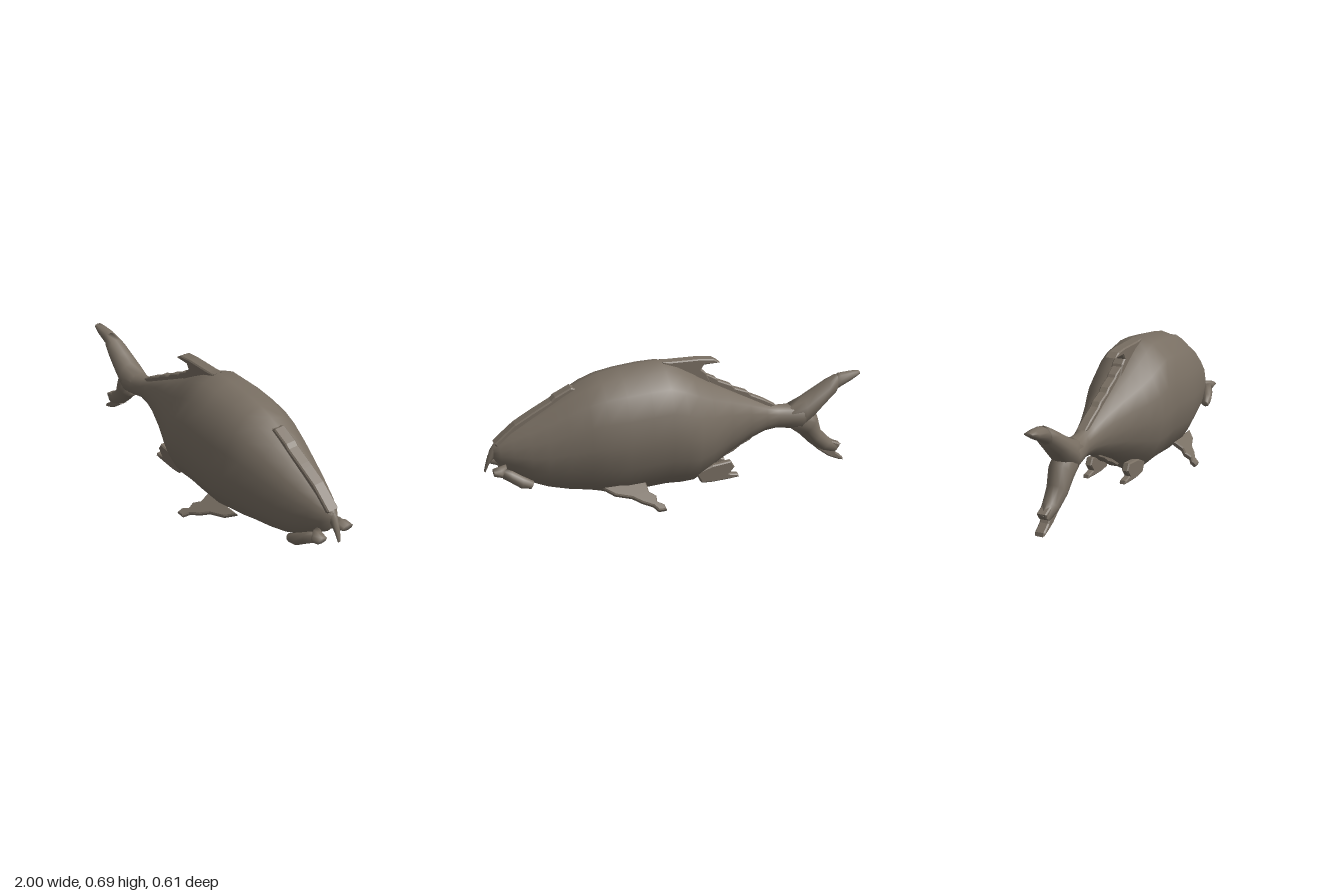
import * as THREE from 'three';

const skin = new THREE.MeshStandardMaterial({ color: 0x786e62 });
skin.name = 'fish skin';

// Elliptical loft. Each section: [topX, topY, bottomX, bottomY, halfWidth, centreZ]
function loft(sections, sides = 16) {
  const pos = [], index = [];
  for (const [tx, ty, bx, by, w, z = 0] of sections) {
    for (let j = 0; j < sides; j++) {
      const a = (j / sides) * Math.PI * 2, c = Math.cos(a) / 2;
      pos.push((tx + bx) / 2 + c * (tx - bx), (ty + by) / 2 + c * (ty - by), z + w * Math.sin(a));
    }
  }
  const last = (sections.length - 1) * sides;
  for (let i = 0; i < sections.length - 1; i++) {
    for (let j = 0; j < sides; j++) {
      const k = (j + 1) % sides, p = i * sides, q = p + sides;
      index.push(p + j, p + k, q + j, p + k, q + k, q + j);
    }
  }
  // end caps as fans
  for (let j = 1; j < sides - 1; j++) {
    index.push(0, j + 1, j, last, last + j, last + j + 1);
  }
  const g = new THREE.BufferGeometry();
  g.setAttribute('position', new THREE.Float32BufferAttribute(pos, 3));
  g.setIndex(index);
  g.computeVertexNormals();
  return g;
}

// Flat fin from an outline, centred on z = 0, with bevelled rims
function plate(points, thickness, bevel = 0.006) {
  const shape = new THREE.Shape(points.map(([x, y]) => new THREE.Vector2(x, y)));
  const depth = thickness - 2 * bevel;
  const g = new THREE.ExtrudeGeometry(shape, {
    depth, bevelEnabled: true, bevelThickness: bevel, bevelSize: bevel,
    bevelOffset: -bevel, bevelSegments: 1,
  });
  return g.translate(0, 0, -depth / 2);
}

export function createModel() {
  const fish = new THREE.Group();
  fish.name = 'fish';

  function add(name, geometry) {
    const mesh = new THREE.Mesh(geometry, skin);
    mesh.name = name;
    fish.add(mesh);
    return mesh;
  }
  function addPair(name, geometry) {
    add(name + 'Left', geometry);
    add(name + 'Right', geometry).scale.z = -1;
  }

  // body: x, top, bottom, half width
  const body = [
    [-0.7, 0.37, 0.25, 0.062], [-0.66, 0.372, 0.225, 0.075], [-0.6, 0.362, 0.232, 0.062],
    [-0.53, 0.367, 0.243, 0.05], [-0.46, 0.393, 0.237, 0.062], [-0.36, 0.447, 0.2, 0.09],
    [-0.24, 0.51, 0.143, 0.135], [-0.13, 0.57, 0.075, 0.183], [-0.05, 0.62, 0.03, 0.214],
    [0.02, 0.66, 0.028, 0.229], [0.1, 0.69, 0.034, 0.236], [0.2, 0.688, 0.03, 0.24],
    [0.32, 0.677, 0.022, 0.235], [0.42, 0.66, 0.04, 0.222], [0.5, 0.632, 0.06, 0.205],
    [0.6, 0.58, 0.078, 0.178], [0.7, 0.52, 0.105, 0.147], [0.78, 0.474, 0.14, 0.118],
    [0.86, 0.425, 0.198, 0.083], [0.92, 0.383, 0.238, 0.05], [0.95, 0.355, 0.285, 0.025],
  ];
  add('body', loft(body.map(([x, t, b, w]) => [x, t, x, b, w])));

  // hooked snout, bending down to a narrow tip
  add('snout', loft([
    [0.86, 0.425, 0.87, 0.32, 0.03], [0.93, 0.382, 0.91, 0.3, 0.028],
    [0.965, 0.335, 0.945, 0.29, 0.021], [0.985, 0.28, 0.97, 0.265, 0.015],
    [1, 0.225, 0.992, 0.22, 0.008],
  ], 10));

  // forked tail, each lobe running from tip to root
  add('tailUpperLobe', loft([
    [-0.87, 0.498, -0.855, 0.39, 0.043], [-0.82, 0.475, -0.79, 0.335, 0.058],
    [-0.74, 0.43, -0.74, 0.285, 0.066], [-0.68, 0.395, -0.68, 0.235, 0.073],
    [-0.6, 0.362, -0.6, 0.232, 0.062],
  ], 12));
  add('tailUpperTip', loft([
    [-1, 0.503, -0.995, 0.484, 0.022], [-0.96, 0.505, -0.95, 0.457, 0.032],
    [-0.89, 0.503, -0.875, 0.42, 0.037], [-0.85, 0.48, -0.85, 0.4, 0.035],
  ], 10));
  add('tailLowerLobe', loft([
    [-0.91, 0.095, -0.86, 0.045, 0.026], [-0.85, 0.135, -0.79, 0.075, 0.04],
    [-0.79, 0.195, -0.73, 0.125, 0.052], [-0.765, 0.285, -0.67, 0.185, 0.06],
    [-0.7, 0.34, -0.61, 0.23, 0.062],
  ], 12));
  add('tailLowerTip', plate([
    [-0.93, 0.002], [-0.9, 0.01], [-0.84, 0.038], [-0.77, 0.09], [-0.8, 0.15],
    [-0.84, 0.13], [-0.91, 0.1], [-0.9, 0.08], [-0.865, 0.08], [-0.885, 0.05], [-0.925, 0.02],
  ], 0.05));

  // dorsal fin and the low ridges along the back
  add('dorsalFin', plate([
    [0.1, 0.688], [0.06, 0.683], [-0.1, 0.68], [-0.17, 0.672], [-0.205, 0.65],
    [-0.12, 0.648], [-0.105, 0.625], [-0.13, 0.604], [-0.16, 0.54], [0.05, 0.6],
  ], 0.06));
  add('rearBackRidge', plate([
    [-0.1, 0.61], [-0.19, 0.565], [-0.2, 0.552], [-0.27, 0.52], [-0.29, 0.5], [-0.36, 0.472],
    [-0.38, 0.452], [-0.45, 0.418], [-0.52, 0.376], [-0.46, 0.36], [-0.2, 0.5],
  ], 0.05));
  add('headRidge', plate([
    [0.53, 0.6], [0.56, 0.612], [0.64, 0.573], [0.66, 0.555], [0.74, 0.513], [0.76, 0.502],
    [0.84, 0.457], [0.9, 0.408], [0.945, 0.37], [0.92, 0.34], [0.7, 0.48],
  ], 0.062));

  // underside keel and rear belly ridge
  add('bellyKeel', plate([
    [0.16, 0.06], [0.18, 0.036], [0.24, 0.027], [0.33, 0.001], [0.38, 0.016], [0.46, 0.045], [0.46, 0.1],
  ], 0.05, 0.01));
  add('rearBellyRidge', plate([
    [-0.42, 0.235], [-0.38, 0.2], [-0.33, 0.178], [-0.29, 0.15], [-0.24, 0.128],
    [-0.18, 0.092], [-0.12, 0.12], [-0.3, 0.22],
  ], 0.05));

  // pelvic fins
  const pelvic = plate([
    [-0.05, 0.1], [-0.08, 0.042], [-0.13, 0.037], [-0.22, 0.04], [-0.285, 0.045],
    [-0.28, 0.062], [-0.23, 0.07], [-0.26, 0.105], [-0.24, 0.14], [-0.14, 0.13],
  ], 0.035);
  addPair('pelvicFin', pelvic.translate(0, 0, 0.1));

  // pectoral fins, sloping outward and down
  const pectoral = plate([
    [0.45, -0.03], [0.4, 0.02], [0.32, 0.05], [0.28, 0.085], [0.23, 0.115], [0.21, 0.147],
    [0.17, 0.147], [0.175, 0.115], [0.205, 0.095], [0.2, 0.06], [0.23, 0.03], [0.23, -0.03],
  ], 0.026);
  pectoral.rotateX(Math.PI / 2 + 0.52).translate(0, 0.095, 0.175);
  addPair('pectoralFin', pectoral);

  // mouth flaps hanging back from the jaw, with a small lobe in front
  addPair('mouthFlap', loft([
    [0.78, 0.19, 0.8, 0.152, 0.022, 0.112], [0.83, 0.22, 0.84, 0.155, 0.028, 0.105],
    [0.88, 0.25, 0.885, 0.185, 0.032, 0.09], [0.925, 0.265, 0.92, 0.203, 0.03, 0.07],
  ], 8));
  addPair('mouthLobe', loft([
    [0.9, 0.27, 0.9, 0.235, 0.025, 0.055], [0.93, 0.27, 0.925, 0.215, 0.036, 0.075],
    [0.965, 0.262, 0.965, 0.232, 0.032, 0.08],
  ], 8));

  return fish;
}
